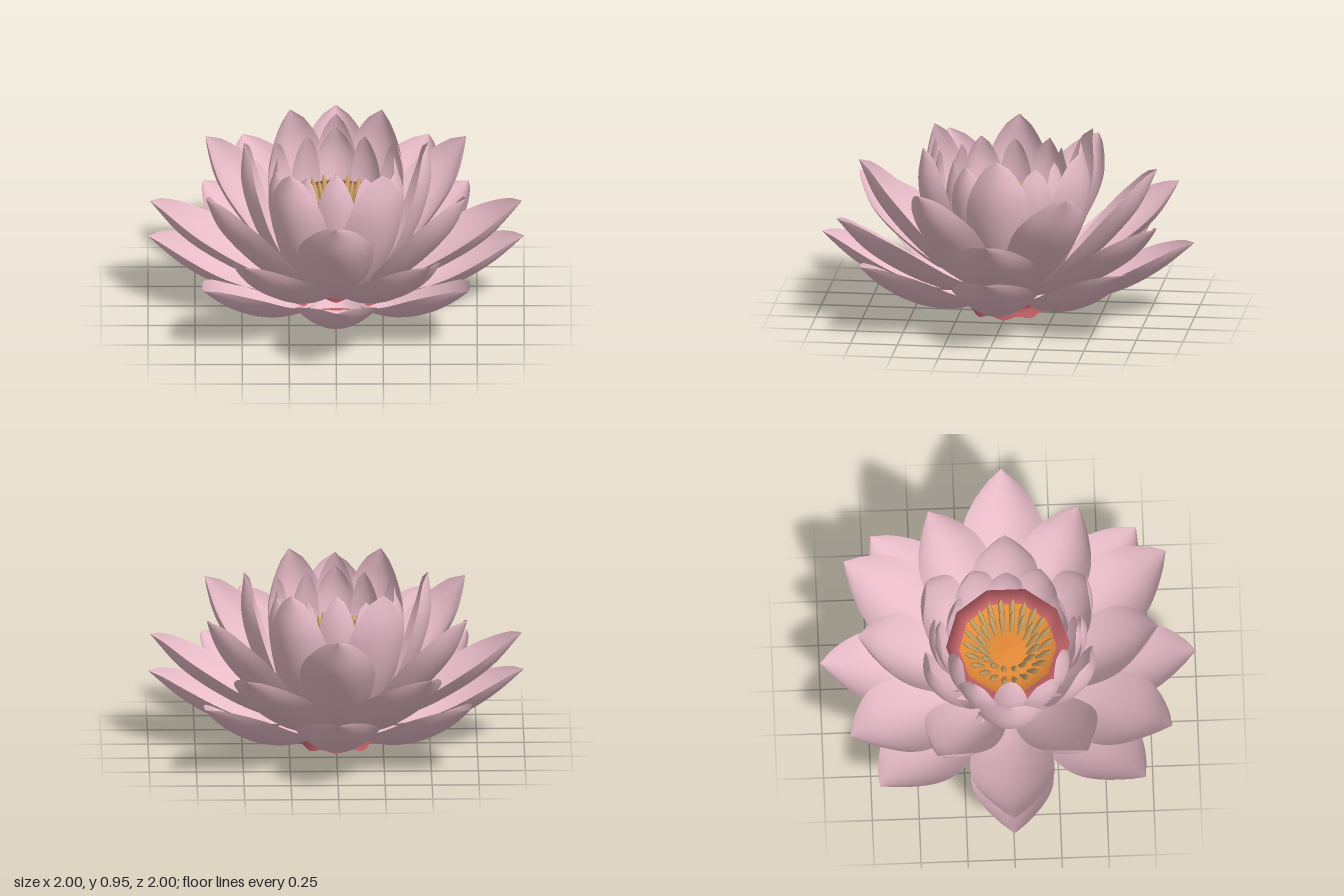
import * as THREE from 'three';

const mat = (name, color) => {
  const m = new THREE.MeshStandardMaterial({ color, side: THREE.DoubleSide });
  m.name = name;
  return m;
};

// Half width along a petal: narrower foot, full belly, tip rounded by a low power
function petalWidth(t, tipPower) {
  const belly = 0.58;
  if (t < belly) return 0.5 + 0.5 * Math.sin((Math.PI / 2) * (t / belly));
  const s = (t - belly) / (1 - belly);
  return Math.pow(1 - s * s, tipPower);
}

// Cupped petal swept along a (radius, height) profile, pointing to +x
function petalGeometry({ profile, width, cup, tipPower }) {
  const curve = new THREE.CatmullRomCurve3(profile.map(([r, y]) => new THREE.Vector3(r, y, 0)));
  const geo = new THREE.PlaneGeometry(2, 1, 10, 20);
  const pos = geo.attributes.position;
  for (let i = 0; i < pos.count; i++) {
    const u = pos.getX(i);
    const t = THREE.MathUtils.clamp(pos.getY(i) + 0.5, 0, 1);
    const p = curve.getPointAt(t);
    const d = curve.getTangentAt(t);
    const w = petalWidth(t, tipPower);
    const lift = cup * w * u * u;
    pos.setXYZ(i, p.x - d.y * lift, p.y + d.x * lift, width * w * u);
  }
  geo.computeVertexNormals();
  return geo;
}

// Petal rings, outermost first; start is the angle of the first petal in degrees
const RINGS = [
  { name: 'outerPetal', count: 8, start: 0, width: 0.22, cup: 0.11, tipPower: 0.8,
    profile: [[0.19, 0.115], [0.32, 0.08], [0.5, 0.105], [0.68, 0.175], [0.84, 0.275], [1.0, 0.41]] },
  { name: 'lowerPetal', count: 6, start: 0, width: 0.225, cup: 0.11, tipPower: 0.8,
    profile: [[0.19, 0.12], [0.4, 0.175], [0.62, 0.285], [0.83, 0.435], [0.99, 0.615]] },
  { name: 'middlePetal', count: 6, start: 30, width: 0.2, cup: 0.12, tipPower: 0.72,
    profile: [[0.2, 0.13], [0.38, 0.25], [0.56, 0.42], [0.71, 0.61], [0.8, 0.81]] },
  { name: 'upperPetal', count: 6, start: 0, width: 0.175, cup: 0.09, tipPower: 0.65,
    profile: [[0.22, 0.14], [0.35, 0.32], [0.45, 0.52], [0.505, 0.75], [0.49, 0.955]] },
  { name: 'innerPetal', count: 6, start: 30, width: 0.12, cup: 0.05, tipPower: 0.65,
    profile: [[0.24, 0.18], [0.33, 0.4], [0.38, 0.58], [0.395, 0.74], [0.37, 0.875]] },
  { name: 'crestPetal', count: 2, start: 90, width: 0.11, cup: 0.04, tipPower: 0.7,
    profile: [[0.25, 0.2], [0.35, 0.42], [0.41, 0.62], [0.42, 0.8], [0.39, 0.945]] },
  { name: 'heartPetal', count: 6, start: 0, width: 0.09, cup: 0.03, tipPower: 0.65,
    profile: [[0.26, 0.2], [0.32, 0.4], [0.35, 0.58], [0.34, 0.74], [0.31, 0.87]] },
];

export function createModel() {
  const flower = new THREE.Group();
  flower.name = 'waterLily';
  const pink = mat('petalPink', 0xe8bcc8);
  const red = mat('cupRed', 0xcc686d);
  const orange = mat('heartOrange', 0xe68b38);
  const gold = mat('stamenGold', 0xcaa263);

  const add = (parent, name, geo, material) => {
    const mesh = new THREE.Mesh(geo, material);
    mesh.name = name;
    parent.add(mesh);
    return mesh;
  };
  const lathe = (pts, n) => new THREE.LatheGeometry(pts.map(([r, y]) => new THREE.Vector2(r, y)), n);

  // Petals
  for (const ring of RINGS) {
    const group = new THREE.Group();
    group.name = ring.name + 'Ring';
    const geo = petalGeometry(ring);
    for (let i = 0; i < ring.count; i++) {
      const petal = add(group, ring.name, geo, pink);
      petal.rotation.y = THREE.MathUtils.degToRad(ring.start + (360 / ring.count) * i);
    }
    flower.add(group);
  }

  // Red foot with a wavy lower rim and a collar under the petals
  const foot = lathe([[0.195, 0], [0.195, 0.05], [0.2, 0.085], [0.25, 0.1], [0.31, 0.115]], 40);
  const p = foot.attributes.position;
  for (let i = 0; i < p.count; i++) {
    if (p.getY(i) < 0.01) p.setY(i, 0.01 * (1 - Math.cos(Math.atan2(p.getZ(i), p.getX(i)) * 8)));
  }
  foot.computeVertexNormals();
  add(flower, 'foot', foot, red);

  // Red cup around the heart
  add(flower, 'cup', lathe([[0.2, 0.1], [0.25, 0.25], [0.3, 0.42], [0.33, 0.59], [0.255, 0.54]], 10), red);

  // Orange heart above, domed orange floor inside the foot
  add(flower, 'heart', lathe([[0.26, 0.545], [0.21, 0.51], [0.14, 0.5], [0.0001, 0.52]], 10), orange);
  add(flower, 'footFloor', lathe([[0.0001, 0.025], [0.1, 0.03], [0.16, 0.045], [0.194, 0.075]], 20), orange);

  // Two rows of tapering stamens leaning outward
  const stamens = new THREE.Group();
  stamens.name = 'stamens';
  const rows = [
    { count: 22, foot: 0.15, tip: 0.235, top: 0.66 },
    { count: 16, foot: 0.1, tip: 0.17, top: 0.68 },
  ];
  for (const { count, foot: base, tip, top } of rows) {
    const lean = Math.atan2(tip - base, top - 0.49);
    const geo = lathe([[0.008, 0], [0.012, 0.06], [0.017, 0.12], [0.012, 0.17], [0.0001, 0.195]], 6);
    geo.rotateZ(-lean);
    geo.translate(base, 0.49, 0);
    for (let i = 0; i < count; i++) {
      add(stamens, 'stamen', geo, gold).rotation.y = ((i + 0.5) / count) * Math.PI * 2;
    }
  }
  flower.add(stamens);
  return flower;
}
